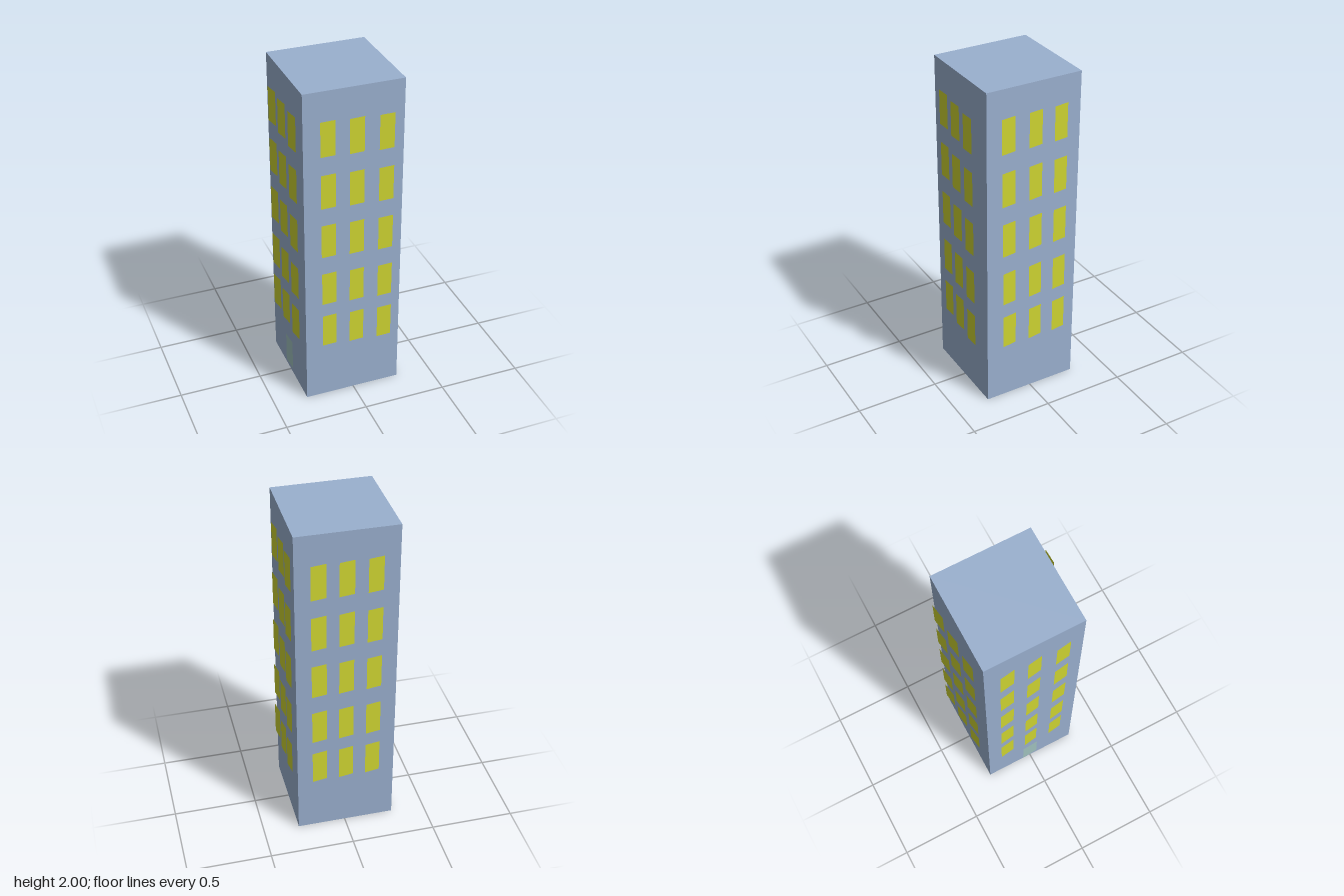
import * as THREE from 'three';

const material = (color) =>
  new THREE.MeshStandardMaterial({ color, side: THREE.DoubleSide, flatShading: true });

// Upright thin panel between two floor-plan points [x, z], from bottom to top
function panel(name, a, b, bottom, top, mat) {
  const dx = b[0] - a[0], dz = b[1] - a[1];
  const mesh = new THREE.Mesh(new THREE.PlaneGeometry(Math.hypot(dx, dz), top - bottom), mat);
  mesh.position.set((a[0] + b[0]) / 2, (bottom + top) / 2, (a[1] + b[1]) / 2);
  mesh.rotation.y = Math.atan2(-dz, dx);
  mesh.name = name;
  return mesh;
}

export function createModel() {
  const model = new THREE.Group();
  model.name = 'towerBlock';
  const wallMat = material(0x9ab0cf);
  const windowMat = material(0xcdd331);
  const doorMat = material(0xa0c2be);

  // Tower: a plain box leaning very slightly to the back
  const box = new THREE.BoxGeometry(0.584, 2, 0.583);
  const pos = box.attributes.position;
  for (let i = 0; i < pos.count; i++) pos.setZ(i, pos.getZ(i) - 0.004 * pos.getY(i));
  box.computeVertexNormals();
  const tower = new THREE.Mesh(box, wallMat);
  tower.name = 'tower';
  tower.position.set(-0.005, 1, -0.005);
  model.add(tower);

  // Windows: each column is a slightly skewed line in plan; drift moves it per floor downwards
  const walls = [
    { name: 'frontWindows', drift: [0.0017, 0], columns: [
      [[-0.206, 0.305], [-0.119, 0.302]], [[-0.044, 0.32], [0.043, 0.316]], [[0.122, 0.335], [0.21, 0.332]]] },
    { name: 'backWindows', drift: [0, 0.0006], columns: [
      [[-0.114, -0.329], [-0.203, -0.315]], [[0.047, -0.333], [-0.042, -0.319]], [[0.205, -0.337], [0.116, -0.323]]] },
    { name: 'leftWindows', drift: [0.0035, 0], columns: [
      [[0.3, -0.132], [0.288, -0.22]], [[0.301, 0.028], [0.289, -0.06]], [[0.302, 0.198], [0.29, 0.11]]] },
    { name: 'rightWindows', drift: [0, 0], columns: [
      [[-0.32, -0.218], [-0.307, -0.13]], [[-0.32, -0.056], [-0.307, 0.03]], [[-0.32, 0.112], [-0.307, 0.2]]] },
  ];
  const sills = [1.625, 1.305, 0.988, 0.667, 0.373];
  for (const { name, drift, columns } of walls) {
    const group = new THREE.Group();
    group.name = name;
    sills.forEach((sill, row) => {
      const shift = ([x, z]) => [x + drift[0] * row, z + drift[1] * row];
      for (const [a, b] of columns)
        group.add(panel('window', shift(a), shift(b), sill, sill + 0.209, windowMat));
    });
    model.add(group);
  }

  // Door low on the right wall
  model.add(panel('door', [-0.306, -0.055], [-0.3, 0.045], 0.04, 0.235, doorMat));
  return model;
}
